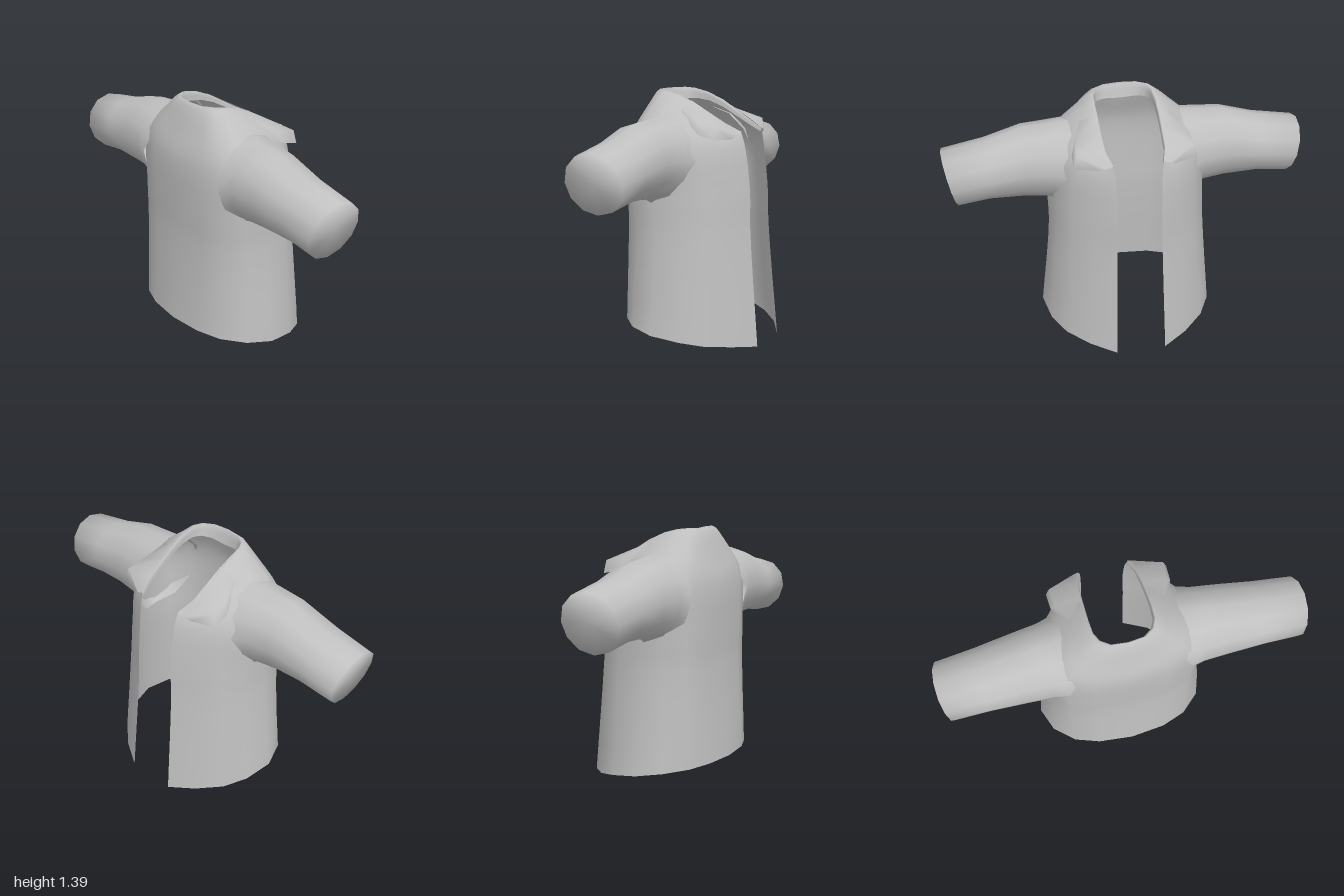
import * as THREE from 'three';

const V = (p) => new THREE.Vector3(...p);

// Joins rows of points into one smooth skin; closed rows wrap around
function skin(rows, closed = false) {
  const n = rows[0].length, index = [];
  for (let r = 0; r < rows.length - 1; r++) {
    for (let i = 0; i < (closed ? n : n - 1); i++) {
      const j = (i + 1) % n;
      const a = r * n + i, b = r * n + j, c = a + n, d = b + n;
      index.push(a, c, b, b, c, d);
    }
  }
  const g = new THREE.BufferGeometry().setFromPoints(rows.flat());
  g.setIndex(index);
  g.computeVertexNormals();
  return g;
}

// Half sections of the body, from the front opening round to the centre of the back
const hem = [[.39, 0, .14], [.31, .025, .28], [.2, .045, .4], [.08, .07, .47], [-.08, .095, .5],
  [-.22, .115, .45], [-.32, .125, .34], [-.37, .13, .2], [-.39, .13, 0]];
const waist = [[.335, .65, .125], [.27, .65, .25], [.18, .65, .35], [.07, .65, .42], [-.08, .65, .44],
  [-.2, .65, .42], [-.3, .65, .34], [-.34, .65, .2], [-.35, .65, 0]];
const chest = [[.33, .85, .12], [.265, .85, .24], [.17, .85, .34], [.07, .85, .41], [-.1, .85, .44],
  [-.22, .85, .42], [-.3, .85, .34], [-.345, .85, .2], [-.35, .85, 0]];
const upper = [[.305, 1.07, .123], [.25, 1.09, .22], [.16, 1.1, .31], [.06, 1.1, .39], [-.1, 1.12, .43],
  [-.21, 1.12, .42], [-.29, 1.12, .34], [-.335, 1.11, .2], [-.35, 1.1, 0]];
const shoulder = [[.288, 1.15, .13], [.22, 1.17, .2], [.13, 1.22, .24], [.03, 1.27, .26], [-.1, 1.295, .28],
  [-.19, 1.295, .27], [-.25, 1.28, .24], [-.29, 1.26, .17], [-.31, 1.23, 0]];
const neck = [[.28, 1.175, .135], [.2, 1.215, .16], [.1, 1.275, .165], [.02, 1.325, .167], [-.07, 1.365, .168],
  [-.15, 1.385, .163], [-.2, 1.39, .14], [-.235, 1.39, .09], [-.245, 1.39, 0]];
// Turned-in lip, deepest behind the neck
const lip = neck.map(([x, y, z], i) => [x + .004 * i, y - .02 - .0075 * i, z * .95]);

function bodyGeometry() {
  const sections = [hem, waist, chest, upper, shoulder, neck, lip].map((half) => [
    ...half.map(V),
    ...half.slice(0, -1).reverse().map(([x, y, z]) => V([x, y, -z])),
  ]);
  const columns = sections[0].map((_, i) =>
    new THREE.CatmullRomCurve3(sections.map((s) => s[i])).getPoints(24));
  return skin(columns);
}

// Sleeve stations: z, back x, front x, bottom y, top y
const stations = [
  [.42, -.325, .14, .79, 1.27],
  [.46, -.312, .095, .83, 1.25],
  [.56, -.305, .075, .84, 1.24],
  [.76, -.293, .06, .845, 1.178],
  [.965, -.285, .048, .82, 1.135],
];

function sleeveGeometry(side) {
  const sides = 12;
  const rows = stations.map(([z, x0, x1, y0, y1], k) => Array.from({ length: sides }, (_, i) => {
    const a = (i / sides) * Math.PI * 2, c = Math.cos(a), s = Math.sin(a);
    let dz = 0;
    if (k === 0) dz = -.14 * Math.max(0, s) - .09 * Math.abs(c); // root follows the body wall
    if (k === 1) dz = -.05 * Math.abs(c);
    if (k === 4) dz = .035 * s; // slanted cuff
    return V([(x0 + x1) / 2 + c * (x1 - x0) / 2, (y0 + y1) / 2 + s * (y1 - y0) / 2, side * (z + dz)]);
  }));
  // Closed cuff end
  rows.push(Array.from({ length: sides }, () => V([-.118, .978, side * .967])));
  return skin(rows, true);
}

// Folded collar flap: neck edge, outer edge, turned-down edge
const flapRows = [
  [[.285, 1.175, .132], [.2, 1.222, .16], [.1, 1.28, .165], [0, 1.337, .167]],
  [[.28, 1.165, .17], [.21, 1.215, .31], [.1, 1.235, .3], [-.01, 1.3, .255]],
  [[.255, 1.14, .2], [.215, 1.145, .33], [.12, 1.17, .325], [-.01, 1.27, .265]],
];

function flapGeometry(side) {
  return skin(flapRows.map((row) => row.map(([x, y, z]) => V([x, y, side * z]))));
}

export function createModel() {
  const cloth = new THREE.MeshStandardMaterial({ color: 0xc0c0c0, side: THREE.DoubleSide });
  cloth.name = 'grey cloth';
  const jacket = new THREE.Group();
  jacket.name = 'jacket';
  const add = (name, geometry) => {
    const mesh = new THREE.Mesh(geometry, cloth);
    mesh.name = name;
    jacket.add(mesh);
  };
  add('body', bodyGeometry());
  for (const [side, label] of [[1, 'front'], [-1, 'back']]) {
    add(label + 'Sleeve', sleeveGeometry(side));
    add(label + 'CollarFlap', flapGeometry(side));
  }
  return jacket;
}
